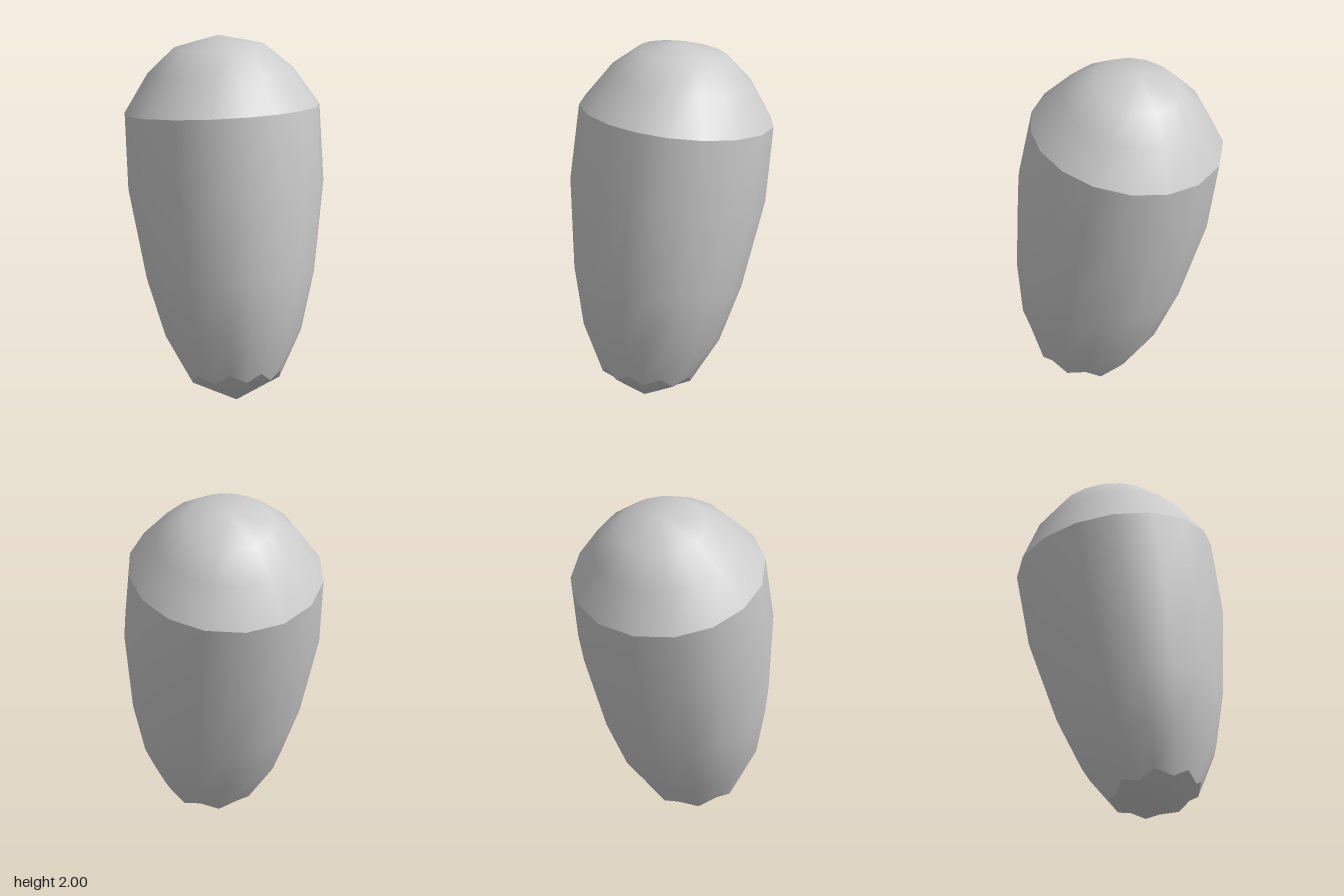
import * as THREE from 'three';
import { mergeVertices } from 'three/addons/utils/BufferGeometryUtils.js';

// Sixteen slightly uneven side corners, in degrees, counter-clockwise from above
const ANGLES = [-182.7, -160, -136, -113, -92, -73, -54, -33, -11, 12, 34.4, 57.2, 81.5, 106.2, 130.8, 154.4];
const SIDES = ANGLES.length;

// Smooth skin through rings listed bottom to top; each ring is (i) => [radius, height]
function skin(rings) {
  const positions = [], index = [];
  for (const ring of rings) {
    ANGLES.forEach((deg, i) => {
      const [r, h] = ring(i);
      const t = THREE.MathUtils.degToRad(deg);
      positions.push(r * Math.cos(t), h, -r * Math.sin(t));
    });
  }
  for (let k = 0; k < rings.length - 1; k++) {
    for (let i = 0; i < SIDES; i++) {
      const j = (i + 1) % SIDES;
      const a = k * SIDES + i, b = k * SIDES + j;
      index.push(a, b, b + SIDES, a, b + SIDES, a + SIDES);
    }
  }
  const geometry = new THREE.BufferGeometry();
  geometry.setAttribute('position', new THREE.Float32BufferAttribute(positions, 3));
  geometry.setIndex(index);
  const merged = mergeVertices(geometry);
  merged.computeVertexNormals();
  return merged;
}

export function createModel() {
  const grey = new THREE.MeshStandardMaterial({ color: 0xcccccc });
  grey.name = 'plain grey';

  const round = (r, h) => () => [r, h];
  // Jagged edge between the body and the tip
  const jagged = (i) => (i % 2 ? [0.259, -1.455] : [0.243, -1.5]);

  const parts = {
    tip: [round(0, -1.611), jagged],
    body: [jagged, round(0.377, -1.245), round(0.465, -0.925), round(0.543, -0.425), round(0.5425, 0)],
    dome: [round(0.5425, 0), round(0.405, 0.212), round(0.252, 0.35), round(0, 0.413)],
  };

  // Heights are measured from the rim under the dome; the whole shape leans back
  const model = new THREE.Group();
  model.name = 'leaningCapsule';
  const lean = new THREE.Group();
  lean.name = 'leaningBody';
  lean.position.set(0, 1.59, -0.035);
  lean.rotation.x = THREE.MathUtils.degToRad(-9.55);
  for (const [name, rings] of Object.entries(parts)) {
    const mesh = new THREE.Mesh(skin(rings), grey);
    mesh.name = name;
    lean.add(mesh);
  }
  model.add(lean);
  return model;
}
